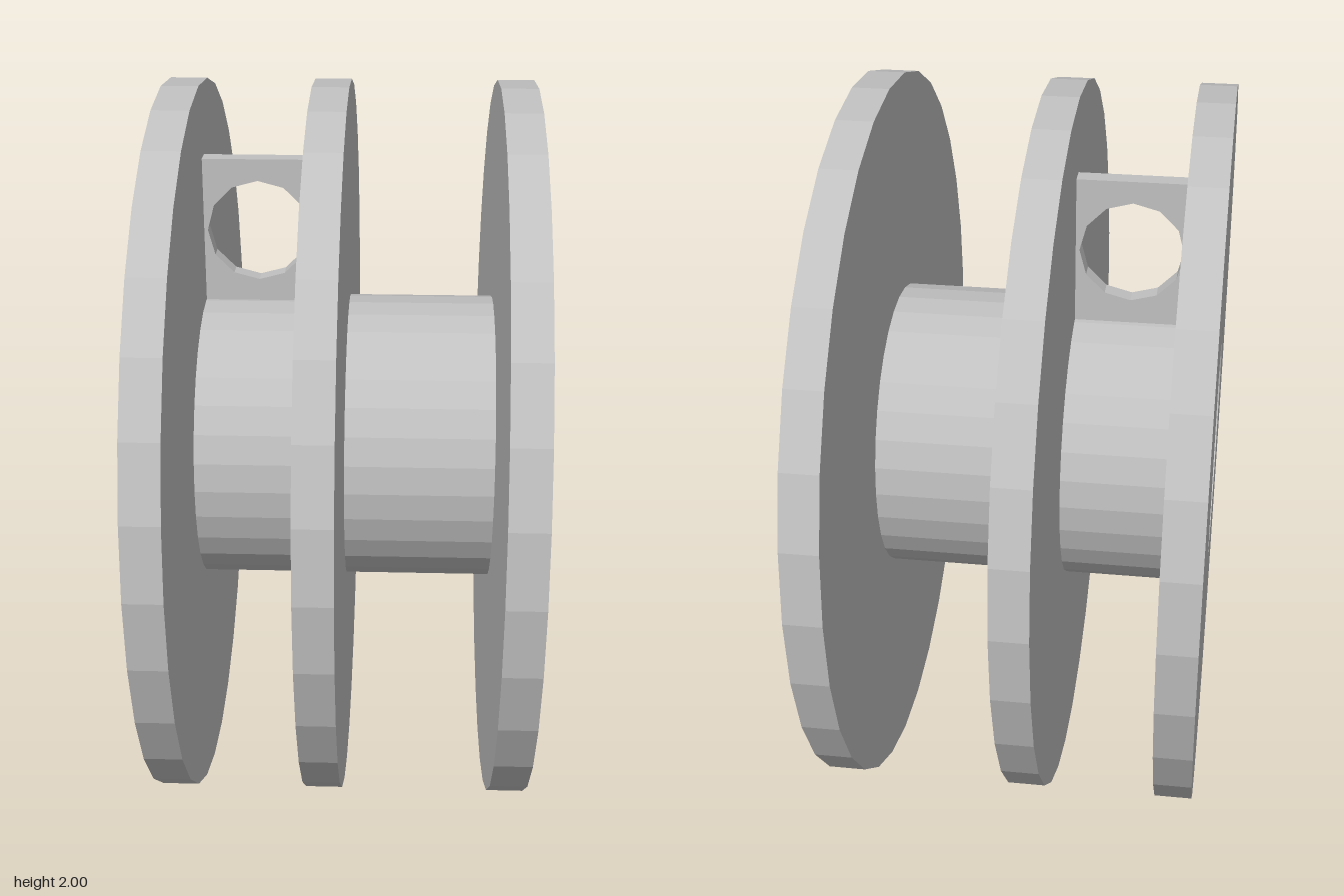
import * as THREE from 'three';

const SIDES = 32, BORE = 0.326, FLAT = 0.175, AXIS_Y = 1;

// Points of a circular arc, from angle a0 to a1
function arc(radius, a0, a1, steps, closed) {
  const points = [];
  for (let i = 0; i < steps + (closed ? 0 : 1); i++) {
    const a = a0 + (a1 - a0) * i / steps;
    points.push(new THREE.Vector2(Math.cos(a) * radius, Math.sin(a) * radius));
  }
  return points;
}

export function createModel() {
  const model = new THREE.Group();
  model.name = 'spool';
  const grey = new THREE.MeshStandardMaterial({ color: 0xc0c0c0, flatShading: true });
  grey.name = 'light grey';

  function add(name, geometry) {
    const mesh = new THREE.Mesh(geometry, grey);
    mesh.name = name;
    model.add(mesh);
  }

  // Disc along x with a D-shaped bore
  function disc(name, radius, x0, x1) {
    const shape = new THREE.Shape(arc(radius, 0, Math.PI * 2, SIDES, true));
    const a = Math.acos(FLAT / BORE);
    shape.holes.push(new THREE.Path(arc(BORE, a, Math.PI * 2 - a, 24, false)));
    const geometry = new THREE.ExtrudeGeometry(shape, { depth: x1 - x0, bevelEnabled: false });
    geometry.rotateY(Math.PI / 2).translate(x0, AXIS_Y, 0);
    add(name, geometry);
  }

  // Three flanges and the two drums between them
  disc('rightFlange', 1, -0.5, -0.4);
  disc('middleFlange', 1, -0.1, 0);
  disc('leftFlange', 1, 0.4, 0.5);
  disc('narrowDrum', 0.4, -0.4, -0.1);
  disc('wideDrum', 0.4, 0, 0.4);

  // Upright tab with a round hole, bridging the narrow groove
  const tab = new THREE.Shape([
    new THREE.Vector2(-0.15, -0.22), new THREE.Vector2(0.15, -0.22),
    new THREE.Vector2(0.15, 0.2), new THREE.Vector2(-0.15, 0.2),
  ]);
  tab.holes.push(new THREE.Path(arc(0.14, 0, Math.PI * 2, 12, true)));
  const tabGeometry = new THREE.ExtrudeGeometry(tab, { depth: 0.05, bevelEnabled: false });
  tabGeometry.translate(-0.25, 1.6, -0.063);
  add('holedTab', tabGeometry);

  return model;
}
